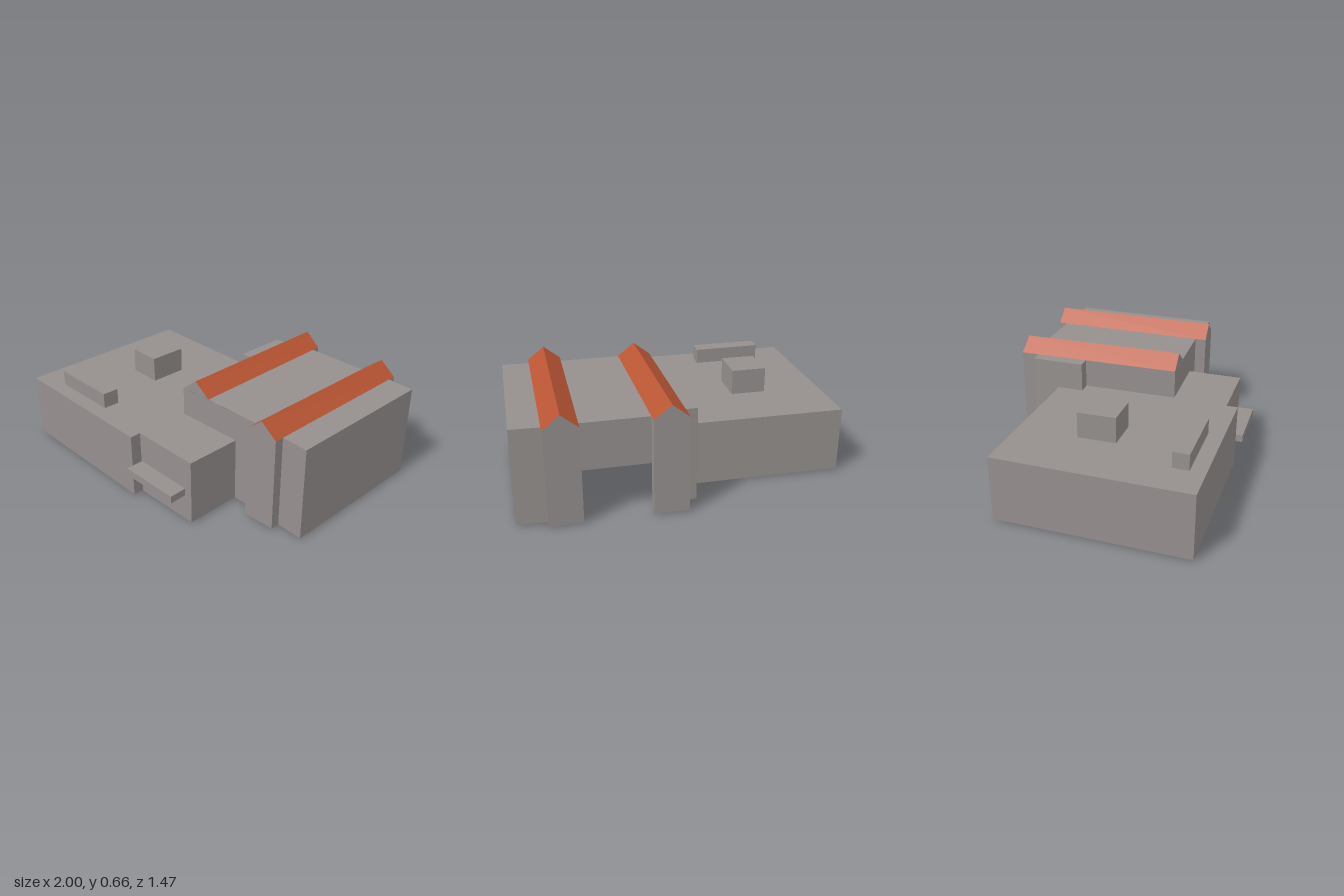
import * as THREE from 'three';

const stone = new THREE.MeshStandardMaterial({ color: 0x95908e, side: THREE.DoubleSide });
stone.name = 'grey stone';
const tile = new THREE.MeshStandardMaterial({ color: 0xb95534, side: THREE.DoubleSide });
tile.name = 'rust tile';

const BASE = 0.01, LOW = 0.405, HALL = 0.58, RIDGE = 0.66;

export function createModel() {
  const model = new THREE.Group();

  function add(name, geometry, material = stone, parent = model) {
    const mesh = new THREE.Mesh(geometry, material);
    mesh.name = name;
    parent.add(mesh);
  }

  // Flat faces from lists of corners
  function faces(polygons) {
    const pos = [];
    for (const p of polygons)
      for (let i = 1; i < p.length - 1; i++) pos.push(...p[0], ...p[i], ...p[i + 1]);
    const g = new THREE.BufferGeometry();
    g.setAttribute('position', new THREE.Float32BufferAttribute(pos, 3));
    g.computeVertexNormals();
    return g;
  }

  // Upright wall along [x, z, own bottom] points; outside lies to the right of the path
  // when the path runs counter-clockwise seen from above
  function wall(points, bottom, top) {
    const quads = [];
    for (let i = 0; i < points.length - 1; i++) {
      const [a, b] = [points[i], points[i + 1]];
      quads.push([[a[0], a[2] ?? bottom, a[1]], [b[0], b[2] ?? bottom, b[1]],
        [b[0], top, b[1]], [a[0], top, a[1]]]);
    }
    return faces(quads);
  }

  // Level slab over an outline of [x, z] points
  function flat(outline, y, holes = []) {
    const v = (p) => new THREE.Vector2(p[0], -p[1]);
    const shape = new THREE.Shape(outline.map(v));
    shape.holes = holes.map((h) => new THREE.Path(h.map(v)));
    return new THREE.ShapeGeometry(shape).rotateX(-Math.PI / 2).translate(0, y, 0);
  }

  // Walled block with a lid, open below unless closed
  function block(name, outline, bottom, top, closed = false) {
    const group = new THREE.Group();
    group.name = name;
    add(name + 'Walls', wall([...outline, outline[0]], bottom, top), stone, group);
    add(name + 'Top', flat(outline, top), stone, group);
    if (closed) add(name + 'Underside', flat(outline, bottom), stone, group);
    model.add(group);
  }

  // Low wing, open where it meets the hall
  const chimney = [[-0.62, 0.107], [-0.415, 0.117], [-0.405, -0.112], [-0.617, -0.12]];
  const skylight = [[-0.79, 0.555], [-0.363, 0.57], [-0.357, 0.47], [-0.783, 0.46]];
  const lowWalls = [[-0.03, -0.462], [-0.96, -0.505], [-1, 0.637], [0.01, 0.678], [0.01, 0.61]];
  const entry = [[0.01, 0.61, 0], [0.442, 0.625], [0.455, 0.284]];
  add('lowWingWalls', wall(lowWalls, BASE, LOW));
  add('entryWalls', wall(entry, BASE, LOW));
  add('lowWingRoof', flat([...lowWalls, ...entry.slice(1), [0.03, 0.28], [0.042, -0.30],
    [-0.035, -0.30]], LOW, [chimney, skylight]));
  block('chimney', chimney, LOW, 0.56);
  block('skylight', skylight, LOW, 0.5);
  block('entryCanopy', [[0.01, 0.72], [0.392, 0.73], [0.392, 0.622], [0.015, 0.61]], 0.17, 0.215, true);

  // Narrow annex behind the low wing
  block('annex', [[-0.033, -0.302], [0.042, -0.30], [0.05, -0.63], [-0.02, -0.628]], BASE, HALL);

  // Hall walls, with a raised rear opening and upper walls over the low wing
  add('hallInnerWalls', wall([[0.046, -0.46], [0.03, 0.28], [0.455, 0.284]], 0.23, HALL));
  add('hallOuterWalls', wall([[0.455, 0.284], [0.602, 0.286], [0.6, 0.355], [0.8, 0.355], [0.802, 0.3],
    [0.965, 0.31], [1, -0.64], [0.832, -0.655], [0.835, -0.706], [0.64, -0.706], [0.638, -0.655]], BASE, HALL));
  add('hallRearWall', wall([[0.638, -0.655], [0.25, -0.669]], 0.3, HALL));
  add('hallRearCorner', wall([[0.25, -0.669], [0.252, -0.722], [0.052, -0.735], [0.046, -0.46]], BASE, HALL));
  add('hallMiddleRoof', flat([[0.235, 0.28], [0.602, 0.286], [0.638, -0.655], [0.25, -0.669]], HALL));
  add('hallSideRoof', flat([[0.802, 0.3], [0.965, 0.31], [1, -0.64], [0.832, -0.655]], HALL));

  // Ridged roofs: front left, front right, back right, back left corners at the eaves
  const ridges = {
    middleRidge: [[0.03, 0.28], [0.235, 0.28], [0.252, -0.722], [0.052, -0.735]],
    sideRidge: [[0.6, 0.355], [0.8, 0.355], [0.835, -0.706], [0.64, -0.706]],
  };
  for (const [name, corners] of Object.entries(ridges)) {
    const [fl, fr, br, bl] = corners.map(([x, z]) => [x, HALL, z]);
    const peak = (a, b) => [(a[0] + b[0]) / 2, RIDGE, (a[2] + b[2]) / 2];
    const front = peak(fl, fr), back = peak(bl, br);
    add(name + 'Tiles', faces([[fl, front, back, bl], [front, fr, br, back]]), tile);
    add(name + 'Gables', faces([[fl, fr, front], [br, bl, back]]));
  }

  return model;
}
